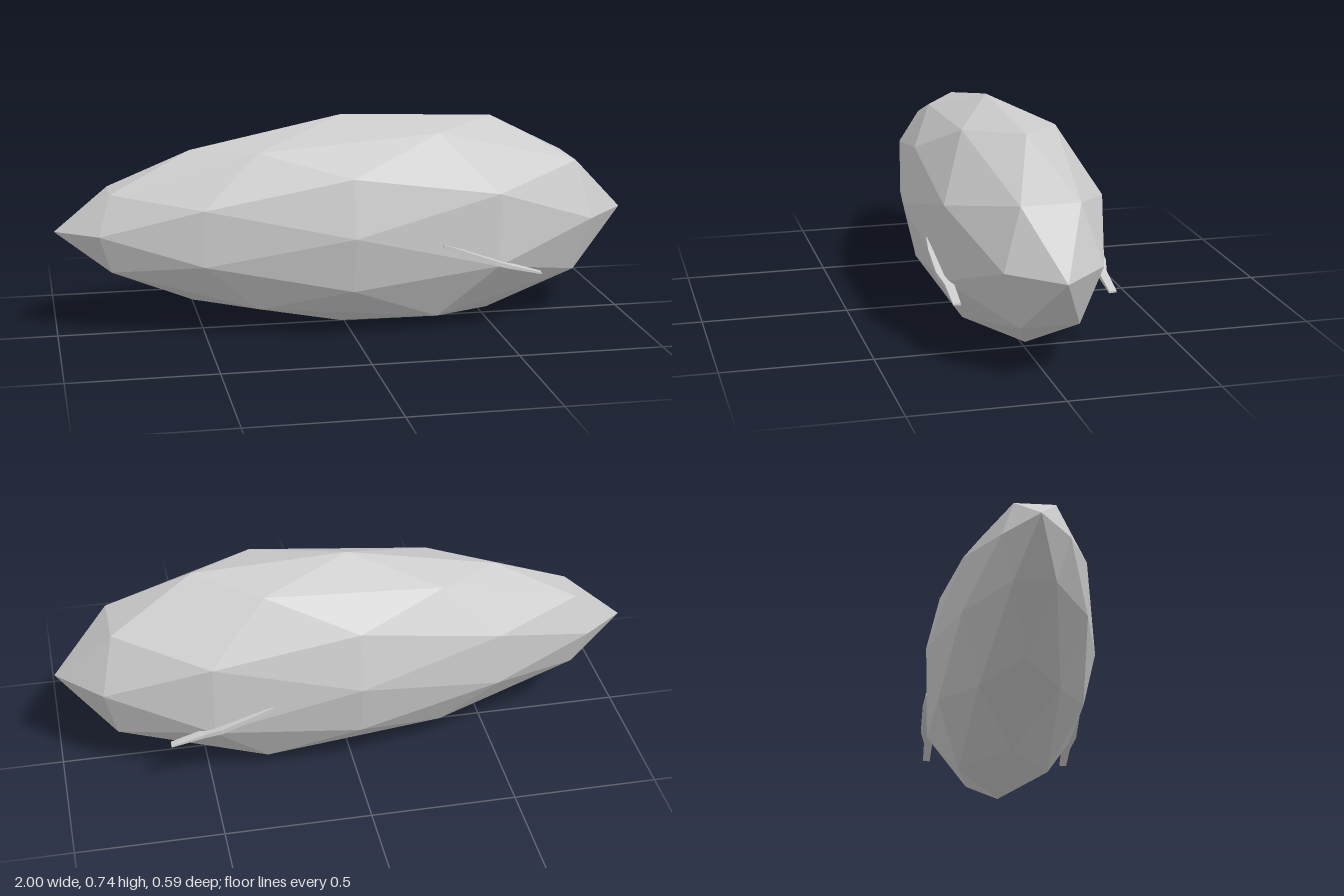
import * as THREE from 'three';

const material = new THREE.MeshStandardMaterial({ color: 0xcccccc, flatShading: true });

// Linear interpolation through [x, value] pairs
function sample(table, x) {
  let i = 1;
  while (i < table.length - 1 && x > table[i][0]) i++;
  const [x0, v0] = table[i - 1];
  const [x1, v1] = table[i];
  return THREE.MathUtils.lerp(v0, v1, THREE.MathUtils.clamp((x - x0) / (x1 - x0), 0, 1));
}

function moveVertices(geometry, rule) {
  const p = geometry.attributes.position;
  const v = new THREE.Vector3();
  for (let i = 0; i < p.count; i++) {
    rule(v.fromBufferAttribute(p, i));
    p.setXYZ(i, v.x, v.y, v.z);
  }
  geometry.computeVertexNormals();
  return geometry;
}

// Faceted ellipsoid, fuller towards +x and tapering towards -x
function createBody() {
  const fullness = [
    [-1, 0.65], [-0.85, 0.69], [-0.81, 0.73], [-0.53, 0.84], [-0.31, 0.91],
    [0, 1], [0.31, 1.08], [0.53, 1.11], [0.81, 1.06], [0.85, 1.03], [1, 0.9],
  ];
  const geometry = moveVertices(new THREE.IcosahedronGeometry(1, 1), (v) => {
    const f = sample(fullness, v.x);
    v.x -= 0.012 * (1 - v.x * v.x);
    v.y = 0.37 + v.y * 0.37 * f;
    v.z *= 0.295 * f;
  });
  const body = new THREE.Mesh(geometry, material);
  body.name = 'body';
  return body;
}

// Thin swept-back fin; stations are x, y, half thickness, inner z, outer z
function createFin(side) {
  const stations = [
    [0.29, 0.328, 0.008, 0.255, 0.279],
    [0.36, 0.302, 0.011, 0.245, 0.287],
    [0.47, 0.261, 0.012, 0.24, 0.287],
    [0.53, 0.24, 0.009, 0.242, 0.272],
    [0.64, 0.212, 0.004, 0.245, 0.27],
  ];
  const last = stations.length - 1;
  const geometry = moveVertices(new THREE.BoxGeometry(1, 1, 1, last, 1, 1), (v) => {
    const [x, y, half, inner, outer] = stations[Math.round((v.x + 0.5) * last)];
    const out = v.z * side > 0;
    v.set(x, y + Math.sign(v.y) * half * (out ? 0.7 : 1), side * (out ? outer : inner));
  });
  const fin = new THREE.Mesh(geometry, material);
  fin.name = side > 0 ? 'frontFin' : 'backFin';
  return fin;
}

export function createModel() {
  const model = new THREE.Group();
  model.name = 'finnedBody';
  model.add(createBody(), createFin(1), createFin(-1));
  return model;
}
